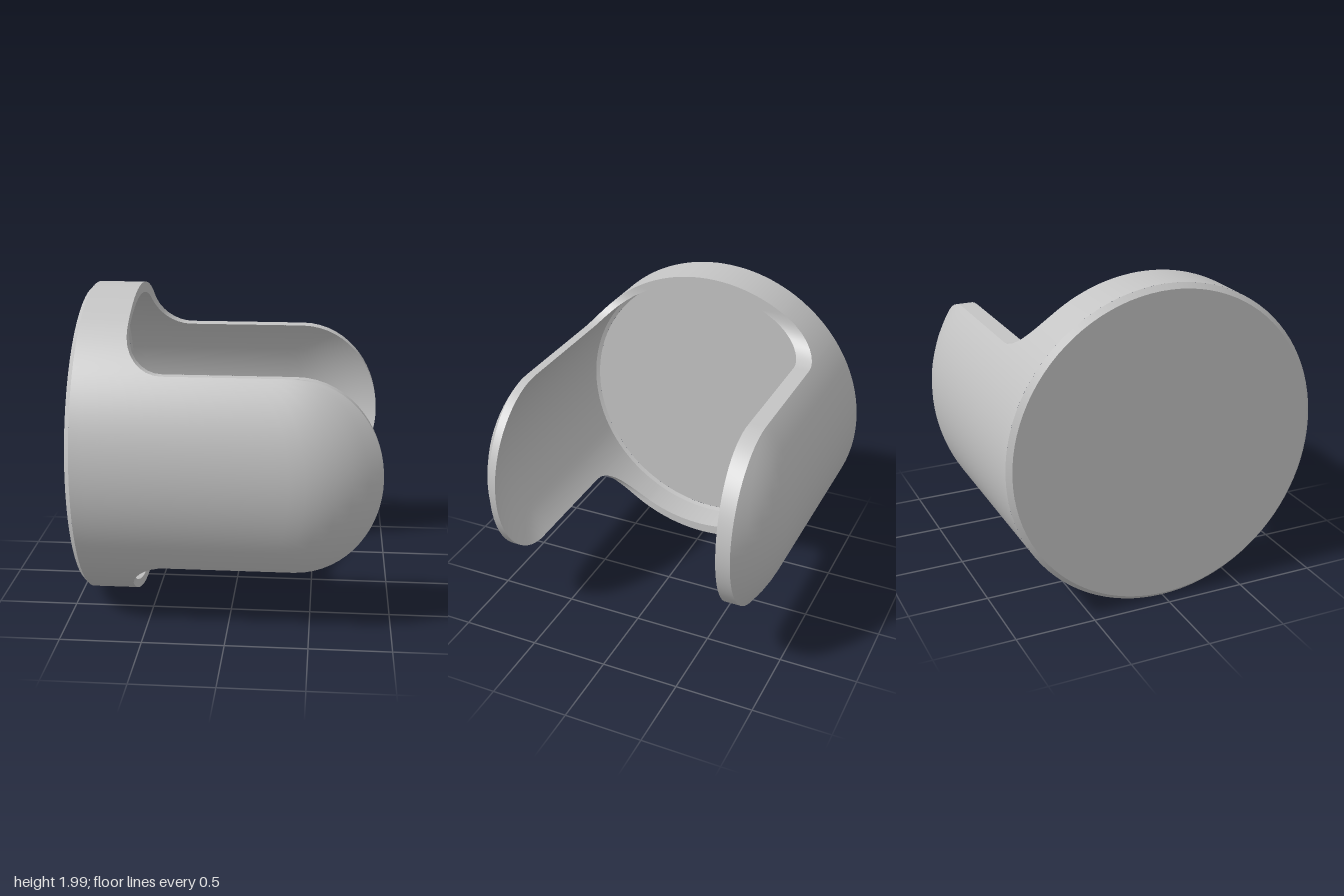
import * as THREE from 'three';

const R = 0.997, RI = 0.935;       // outer and cavity radius
const CY = 0.996, CZ = 0.024;      // axis height, sideways shift of the cavity
const BACK = -0.93, FLOOR = -0.83, RIM = -0.61;
const FLOOR_R = 0.91, STEP = 0.012; // floor radius and depth of its bevel
const HALF = 0.6, CAP = 0.4, FILLET = 0.23; // prong half width, start of round tip, fillet radius
const T1 = Math.asin(HALF / R);
const A = 0.52 / Math.sqrt(1 - Math.cos(T1) ** 2);

// radius factor: straight wall, then an elliptical taper towards the tips
const taper = (x, start) => (x <= start ? 1 : Math.sqrt(1 - ((x - start) / A) ** 2));
const outerR = (x) => R * taper(x, CAP);
const innerR = (x) => RI * taper(x, CAP - 0.02);

// One quarter of the open edge: x, outer angle t, cavity angle u
function quarterEdge() {
  const edge = [];
  const add = (x, t) => {
    const s = (outerR(x) * Math.sin(t)) / innerR(x);
    edge.push({ x, t, u: Math.asin(Math.min(1, s)) });
  };
  for (let k = 0; k <= 16; k++) { // rounded tip
    const t = T1 * Math.sin((k / 16) * Math.PI / 2);
    const f = Math.cos(T1) / Math.cos(t);
    add(CAP + A * Math.sqrt(Math.max(0, 1 - f * f)), t);
  }
  for (let k = 0; k <= 8; k++) { // straight side, then fillet into the rim
    const p = (k / 8) * Math.PI / 2;
    add(RIM + FILLET - FILLET * Math.sin(p), Math.asin((HALF + FILLET * (1 - Math.cos(p))) / R));
  }
  const last = edge[edge.length - 1];
  for (let k = 1; k <= 12; k++) { // rim
    const mix = (v) => v + (Math.PI / 2 - v) * (k / 12);
    edge.push({ x: RIM, t: mix(last.t), u: mix(last.u) });
  }
  return edge;
}

// Mirror the quarter into a closed ring of columns
function fullRing() {
  const q = quarterEdge(), ring = [];
  for (const [sy, sz, rev] of [[1, 1, 0], [1, -1, 1], [-1, -1, 0], [-1, 1, 1]]) {
    const list = rev ? [...q].reverse() : q;
    list.slice(0, -1).forEach((e) => ring.push({ ...e, sy, sz }));
  }
  return ring;
}

const outerPoint = (c, x) => {
  const r = outerR(x);
  return [x, CY + c.sy * r * Math.sin(c.t), c.sz * r * Math.cos(c.t)];
};
const innerPoint = (c, x, r = innerR(x)) =>
  [x, CY + c.sy * r * Math.sin(c.u), CZ + c.sz * r * Math.cos(c.u)];

// Closed surface strip: one list of points per ring column
function loft(columns, flip) {
  const n = columns.length, m = columns[0].length, index = [];
  for (let i = 0; i < n; i++) {
    for (let j = 0; j < m - 1; j++) {
      const a = i * m + j, b = a + 1, c = ((i + 1) % n) * m + j, d = c + 1;
      if (flip) index.push(a, c, b, b, c, d);
      else index.push(a, b, c, b, d, c);
    }
  }
  const g = new THREE.BufferGeometry();
  g.setAttribute('position', new THREE.Float32BufferAttribute(columns.flat(2), 3));
  g.setIndex(index);
  g.computeVertexNormals();
  return g;
}

export function createModel() {
  const group = new THREE.Group();
  const grey = new THREE.MeshStandardMaterial({ color: 0xc4c4c4 });
  grey.name = 'light grey';
  const add = (name, geometry) => {
    const mesh = new THREE.Mesh(geometry, grey);
    mesh.name = name;
    group.add(mesh);
    return mesh;
  };
  const ring = fullRing();
  const N = 20;
  const steps = (from, to) => Array.from({ length: N + 1 }, (_, k) => from + (to - from) * (k / N));

  // outside of the cup and both prongs
  add('outerWall', loft(ring.map((c) => steps(BACK + 0.03, c.x).map((x) => outerPoint(c, x))), false));

  // inside of the cup and both prongs
  add('innerWall', loft(ring.map((c) => steps(FLOOR + STEP, c.x).map((x) => innerPoint(c, x))), true));

  // edge joining the two walls
  add('edge', loft(ring.map((c) => [outerPoint(c, c.x), innerPoint(c, c.x)]), false));

  // small bevel around the cavity floor
  add('floorBevel', loft(ring.map((c) => [innerPoint(c, FLOOR, FLOOR_R), innerPoint(c, FLOOR + STEP)]), true));

  // cavity floor
  const floor = add('floor', new THREE.CircleGeometry(FLOOR_R, 96));
  floor.rotation.y = Math.PI / 2;
  floor.position.set(FLOOR, CY, CZ);

  // closed back with its bevel
  const back = add('backDisc', new THREE.CircleGeometry(0.967, 96));
  back.rotation.y = -Math.PI / 2;
  back.position.set(BACK, CY, 0);
  const bevel = add('backBevel', new THREE.CylinderGeometry(R, 0.967, 0.03, 96, 1, true));
  bevel.rotation.z = -Math.PI / 2;
  bevel.position.set(BACK + 0.015, CY, 0);

  return group;
}
